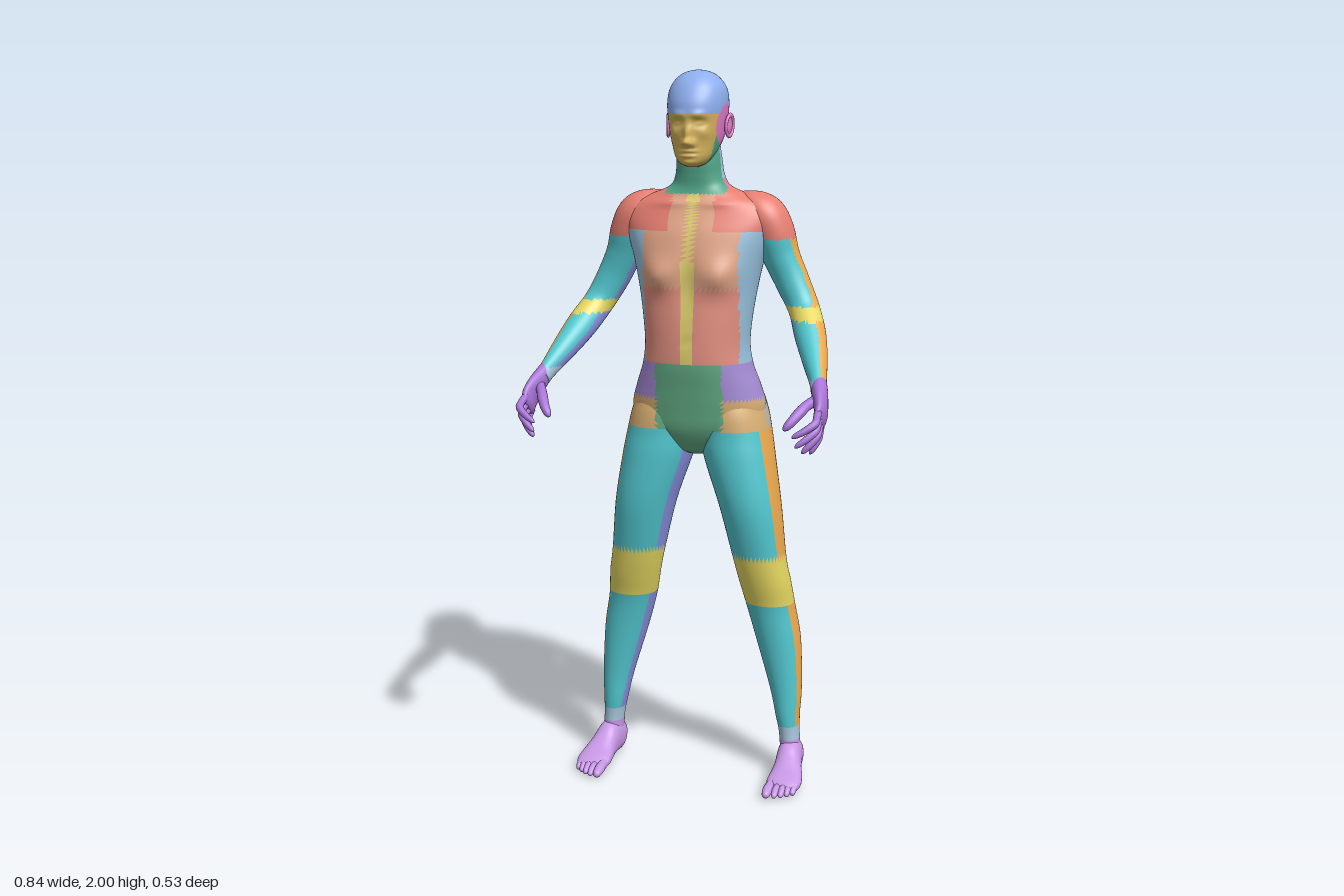
import * as THREE from 'three';

const COLORS = {
  scalp: 0x8eaeee, face: 0xd6b45c, ear: 0xe07cc8, nape: 0xa6c4e0, throat: 0x52a88c,
  shoulder: 0xe87f72, chest: 0xe2a586, belly: 0xe39080, sternum: 0xe0d070, flank: 0x98c2de,
  spine: 0xb4b8ba, upperBack: 0xd97fa0, pelvisFront: 0x62ab84, hip: 0xa58cd6, groin: 0xd8ae72,
  seat: 0xbdb4a6, limbFront: 0x52c8d0, limbOuter: 0xeba94e, limbBack: 0xd469ae,
  limbInner: 0x8a92e0, joint: 0xe6d862, cuff: 0xa9c8de, hand: 0xa874d6, foot: 0xc898e6,
};

// Loft through rows of [x, y, z, halfWidth, frontRadius, backRadius].
// Rings lie level, or square to the path when follow is set.
function loft(rows, { follow = false, steps = 5, sides = 40, power = 2, shape } = {}) {
  const curve = (o) => new THREE.CatmullRomCurve3(
    rows.map((r) => new THREE.Vector3(r[o], r[o + 1], r[o + 2])), false, 'catmullrom', 0.5);
  const path = curve(0), radii = curve(3);
  const n = (rows.length - 1) * steps, pos = [], index = [];
  const pw = (v) => Math.sign(v) * Math.abs(v) ** (2 / power);
  const put = (v) => { if (shape) shape(v); pos.push(v.x, v.y, v.z); };
  for (let i = 0; i <= n; i++) {
    const t = i / n, c = path.getPoint(t), r = radii.getPoint(t);
    const T = follow ? path.getTangent(t) : new THREE.Vector3(0, 1, 0);
    const U = new THREE.Vector3(1, 0, 0).addScaledVector(T, -T.x).normalize();
    const V = new THREE.Vector3().crossVectors(U, T);
    for (let j = 0; j < sides; j++) {
      const a = (j / sides) * Math.PI * 2, s = pw(Math.sin(a));
      put(c.clone().addScaledVector(U, pw(Math.cos(a)) * Math.max(r.x, 0.0005))
        .addScaledVector(V, s * Math.max(s > 0 ? r.y : r.z, 0.0005)));
      if (i < n) {
        const k = (j + 1) % sides, A = i * sides;
        index.push(A + j, A + sides + j, A + k, A + k, A + sides + j, A + sides + k);
      }
    }
  }
  // end caps
  const base = (n + 1) * sides;
  put(path.getPoint(0)); put(path.getPoint(1));
  for (let j = 0; j < sides; j++) {
    const k = (j + 1) % sides;
    index.push(base, j, k, base + 1, n * sides + k, n * sides + j);
  }
  const g = new THREE.BufferGeometry();
  g.setAttribute('position', new THREE.Float32BufferAttribute(pos, 3));
  g.setIndex(index);
  g.computeVertexNormals();
  return g;
}

function mirrored(g) {
  const m = g.clone().scale(-1, 1, 1), a = m.index.array;
  for (let i = 0; i < a.length; i += 3) [a[i], a[i + 1]] = [a[i + 1], a[i]];
  return m;
}

// Split a surface into coloured regions; pick(p, n) gets |x| and an outward-signed normal.
function paint(parent, name, geometry, pick) {
  const group = new THREE.Group(), sets = {};
  group.name = name;
  const { position: P, normal: N } = geometry.attributes, ix = geometry.index.array;
  const p = new THREE.Vector3(), n = new THREE.Vector3(), v = new THREE.Vector3();
  for (let i = 0; i < ix.length; i += 3) {
    p.set(0, 0, 0); n.set(0, 0, 0);
    for (let k = 0; k < 3; k++) {
      p.add(v.fromBufferAttribute(P, ix[i + k]));
      n.add(v.fromBufferAttribute(N, ix[i + k]));
    }
    p.divideScalar(3); n.normalize();
    if (p.x < 0) { p.x *= -1; n.x *= -1; }
    (sets[pick(p, n)] ??= []).push(ix[i], ix[i + 1], ix[i + 2]);
  }
  for (const key in sets) {
    const part = geometry.clone().setIndex(sets[key]).toNonIndexed();
    const mesh = new THREE.Mesh(part, new THREE.MeshStandardMaterial({ color: COLORS[key] }));
    mesh.name = name + ' ' + key;
    group.add(mesh);
  }
  parent.add(group);
}

function pair(parent, name, g, pick) {
  paint(parent, 'left ' + name, g, pick);
  paint(parent, 'right ' + name, mirrored(g), pick);
}

// Mirrored soft bumps [x, y, spreadX, spreadY, amount] along z, on one face of a surface
const bumps = (list, facing, midZ) => (v) => {
  if ((v.z - midZ) * facing <= 0) return;
  const fade = Math.min(1, Math.abs(v.z - midZ) / 0.05);
  let dz = 0;
  for (const [x, y, sx, sy, amt] of list)
    dz += amt * Math.exp(-(((Math.abs(v.x) - x) / sx) ** 2) - ((v.y - y) / sy) ** 2);
  v.z += dz * fade * facing;
};

// Rounded finger or toe along a path
function digit(points, r) {
  const c = new THREE.CatmullRomCurve3(points.map((q) => new THREE.Vector3(...q)));
  const rows = [[0, 1], [0.3, 0.95], [0.5, 1], [0.75, 0.88], [0.9, 0.72], [0.97, 0.42], [1, 0.08]]
    .map(([t, k]) => [...c.getPoint(t).toArray(), r * k, r * k, r * k]);
  return loft(rows, { follow: true, steps: 3, sides: 14 });
}

const limb = (n) => {
  if (n.z > 0.5) return 'limbFront';
  if (n.z < -0.6) return 'limbBack';
  return n.x > 0 ? 'limbOuter' : 'limbInner';
};

const trunk = (p) => {
  const front = p.z > -0.1;
  if (p.y > 1.67 && p.x < 0.085) return front ? 'throat' : p.y > 1.71 ? 'nape' : 'upperBack';
  if (p.y < 1.21) {
    if (front && p.x < 0.095) return 'pelvisFront';
    if (p.y > 1.11 && p.x > 0.08) return 'hip';
    return front ? 'groin' : p.y > 1.13 ? 'flank' : 'seat';
  }
  if (front) {
    if (p.x < 0.014) return 'sternum';
    if (p.y > 1.57 && p.x > 0.06) return 'shoulder';
    return p.x > 0.135 ? 'flank' : p.y > 1.42 ? 'chest' : 'belly';
  }
  if (p.x < 0.028) return 'spine';
  if (p.y > 1.52) return p.x < 0.055 ? 'upperBack' : 'shoulder';
  return 'flank';
};

export function createModel() {
  const body = new THREE.Group();
  body.name = 'human figure';

  // Head with sculpted face
  const faceShape = bumps([
    [0, 1.808, 0.014, 0.011, 0.027], [0, 1.832, 0.010, 0.022, 0.015], [0.014, 1.804, 0.006, 0.007, 0.007],
    [0.031, 1.860, 0.017, 0.011, -0.012], [0.031, 1.859, 0.011, 0.006, 0.007], [0.026, 1.882, 0.022, 0.009, 0.006],
    [0, 1.786, 0.019, 0.005, 0.007], [0, 1.773, 0.017, 0.005, 0.007], [0, 1.7795, 0.022, 0.002, -0.004],
    [0, 1.754, 0.02, 0.009, 0.005], [0.046, 1.832, 0.014, 0.014, 0.005],
  ], 1, -0.06);
  const head = loft([
    [0, 1.743, -0.045, 0.014, 0.02, 0.02], [0, 1.752, -0.05, 0.034, 0.046, 0.035],
    [0, 1.77, -0.06, 0.05, 0.063, 0.06], [0, 1.80, -0.08, 0.063, 0.083, 0.083],
    [0, 1.83, -0.09, 0.072, 0.096, 0.10], [0, 1.87, -0.093, 0.078, 0.103, 0.11],
    [0, 1.91, -0.094, 0.081, 0.102, 0.112], [0, 1.945, -0.095, 0.077, 0.088, 0.105],
    [0, 1.97, -0.096, 0.064, 0.07, 0.085], [0, 1.988, -0.097, 0.045, 0.046, 0.058],
    [0, 1.997, -0.098, 0.022, 0.022, 0.028], [0, 2.0, -0.098, 0.002, 0.002, 0.002],
  ], { steps: 9, sides: 84, power: 2.1, shape: faceShape });
  paint(body, 'head', head, (p) => {
    if (p.x > 0.045 && Math.hypot(p.y - 1.855, p.z + 0.095) < 0.055) return 'ear';
    if (p.z > -0.045 && p.y < 1.885) return 'face';
    if (p.y < 1.83) return p.z > -0.1 ? 'throat' : 'nape';
    return 'scalp';
  });

  // Ears: a thin shell with a rolled rim
  const shell = new THREE.SphereGeometry(1, 20, 14).scale(0.007, 0.027, 0.017);
  const rim = new THREE.TorusGeometry(0.02, 0.0045, 8, 24).rotateY(Math.PI / 2).scale(1, 1.4, 0.85);
  for (const g of [shell, rim])
    pair(body, 'ear', g.rotateX(-0.15).rotateY(-0.3).translate(g === rim ? 0.087 : 0.083, 1.852, -0.1), () => 'ear');

  // Torso and neck
  const chestShape = bumps([[0.085, 1.452, 0.045, 0.042, 0.022], [0.095, 1.447, 0.007, 0.007, 0.005],
    [0, 1.45, 0.02, 0.12, -0.008], [0, 1.27, 0.006, 0.008, -0.006], [0.06, 1.645, 0.05, 0.01, 0.006]], 1, -0.1);
  const backShape = bumps([[0.068, 1.07, 0.045, 0.06, 0.022], [0, 1.05, 0.016, 0.07, -0.025],
    [0, 1.42, 0.022, 0.2, -0.012], [0.09, 1.56, 0.045, 0.06, 0.008]], -1, -0.1);
  const torso = loft([
    [0, 0.945, -0.11, 0.03, 0.04, 0.05], [0, 0.965, -0.11, 0.075, 0.075, 0.09],
    [0, 1.02, -0.11, 0.17, 0.105, 0.13], [0, 1.08, -0.11, 0.19, 0.115, 0.137],
    [0, 1.14, -0.105, 0.176, 0.118, 0.125], [0, 1.20, -0.10, 0.156, 0.122, 0.102],
    [0, 1.26, -0.095, 0.148, 0.118, 0.097], [0, 1.33, -0.095, 0.153, 0.115, 0.107],
    [0, 1.41, -0.10, 0.165, 0.113, 0.125], [0, 1.49, -0.105, 0.182, 0.118, 0.137],
    [0, 1.56, -0.115, 0.205, 0.112, 0.125], [0, 1.61, -0.12, 0.215, 0.095, 0.115],
    [0, 1.645, -0.12, 0.19, 0.08, 0.098], [0, 1.668, -0.12, 0.135, 0.07, 0.08],
    [0, 1.69, -0.12, 0.084, 0.066, 0.066], [0, 1.72, -0.115, 0.067, 0.063, 0.062],
    [0, 1.76, -0.108, 0.062, 0.06, 0.062], [0, 1.82, -0.1, 0.055, 0.05, 0.06],
  ], { steps: 5, sides: 72, power: 2.25, shape: (v) => { chestShape(v); backShape(v); } });
  paint(body, 'torso', torso, trunk);

  // Arms, wrist to shoulder
  const arm = loft([
    [0.388, 1.172, 0.105, 0.021, 0.027, 0.027], [0.38, 1.192, 0.08, 0.023, 0.028, 0.028],
    [0.355, 1.245, 0.012, 0.035, 0.036, 0.035], [0.328, 1.30, -0.052, 0.043, 0.042, 0.041],
    [0.297, 1.36, -0.112, 0.043, 0.043, 0.042], [0.26, 1.43, -0.132, 0.047, 0.047, 0.045],
    [0.227, 1.50, -0.134, 0.051, 0.054, 0.052], [0.204, 1.565, -0.13, 0.058, 0.064, 0.066],
    [0.178, 1.615, -0.126, 0.056, 0.064, 0.07], [0.14, 1.645, -0.122, 0.034, 0.045, 0.055],
    [0.1, 1.65, -0.12, 0.006, 0.01, 0.01],
  ], { follow: true, steps: 6 });
  pair(body, 'arm', arm, (p, n) => {
    if (p.y > 1.55) return 'shoulder';
    if (p.y < 1.2) return 'cuff';
    if (p.y > 1.335 && p.y < 1.37) return 'joint';
    return limb(n);
  });

  // Hands: palm, four curled fingers, thumb
  const palm = loft([
    [0.402, 1.098, 0.182, 0.006, 0.03, 0.028], [0.403, 1.106, 0.174, 0.013, 0.04, 0.039],
    [0.405, 1.125, 0.155, 0.017, 0.043, 0.041], [0.398, 1.15, 0.13, 0.02, 0.039, 0.036],
    [0.389, 1.175, 0.102, 0.022, 0.03, 0.03], [0.38, 1.195, 0.075, 0.021, 0.026, 0.026],
  ], { follow: true, sides: 28 });
  pair(body, 'palm', palm, () => 'hand');
  const tips = [[0.352, 1.077, 0.26], [0.358, 1.05, 0.25], [0.37, 1.03, 0.222], [0.384, 1.022, 0.188]];
  tips.forEach(([x, y, z], i) => {
    const v = 0.7 * (0.031 - 0.021 * i), b = [0.404, 1.112 + v, 0.166 + v];
    const mid = [0.404, (b[1] + y) / 2 + 0.004, (b[2] + z) / 2 + 0.008];
    pair(body, 'finger', digit([b, mid, [x, y, z]], i === 3 ? 0.009 : 0.0105), () => 'hand');
  });
  pair(body, 'thumb', digit([[0.392, 1.158, 0.118], [0.366, 1.142, 0.165], [0.347, 1.118, 0.2], [0.322, 1.088, 0.226]], 0.0145), () => 'hand');

  // Legs, ankle to hip
  const leg = loft([
    [0.273, 0.05, -0.13, 0.03, 0.04, 0.042], [0.268, 0.12, -0.13, 0.029, 0.04, 0.04],
    [0.262, 0.18, -0.13, 0.035, 0.044, 0.044], [0.254, 0.26, -0.135, 0.046, 0.05, 0.053],
    [0.23, 0.40, -0.14, 0.064, 0.063, 0.066], [0.208, 0.50, -0.135, 0.07, 0.069, 0.064],
    [0.194, 0.58, -0.115, 0.074, 0.07, 0.068], [0.18, 0.65, -0.105, 0.076, 0.076, 0.074],
    [0.154, 0.80, -0.1, 0.087, 0.1, 0.092], [0.122, 0.93, -0.105, 0.099, 0.108, 0.115],
    [0.108, 1.0, -0.11, 0.1, 0.108, 0.138], [0.096, 1.07, -0.115, 0.096, 0.108, 0.147],
    [0.088, 1.13, -0.12, 0.08, 0.09, 0.115], [0.08, 1.19, -0.12, 0.03, 0.04, 0.04],
  ], { steps: 6, sides: 44, power: 2.1 });
  pair(body, 'leg', leg, (p, n) => {
    if (p.y > 1.02) return trunk(p);
    if (p.y < 0.15) return p.y < 0.11 ? 'foot' : 'cuff';
    if (p.y > 0.51 && p.y < 0.66) return 'joint';
    return limb(n);
  });

  // Feet, ball to heel, with toes
  const foot = loft([
    [0.283, 0.02, 0.045, 0.03, 0.006, 0.012], [0.284, 0.022, 0.033, 0.043, 0.013, 0.02],
    [0.285, 0.025, 0.01, 0.049, 0.02, 0.024], [0.284, 0.03, -0.025, 0.046, 0.028, 0.028],
    [0.28, 0.04, -0.065, 0.039, 0.04, 0.037], [0.275, 0.05, -0.105, 0.036, 0.055, 0.047],
    [0.272, 0.05, -0.145, 0.035, 0.05, 0.048], [0.271, 0.045, -0.17, 0.027, 0.03, 0.038],
    [0.271, 0.04, -0.18, 0.01, 0.012, 0.015],
  ], { follow: true, power: 2.3 });
  pair(body, 'foot', foot, () => 'foot');
  [[0.251, 0.094, 0.0145], [0.273, 0.086, 0.0105], [0.29, 0.078, 0.01], [0.305, 0.067, 0.0095], [0.319, 0.054, 0.0095]]
    .forEach(([x, z, r]) => pair(body, 'toe',
      digit([[x + 0.002, 0.022, 0.01], [x, 0.02, (z + 0.02) / 2], [x, r * 0.85, z]], r), () => 'foot'));

  return body;
}
